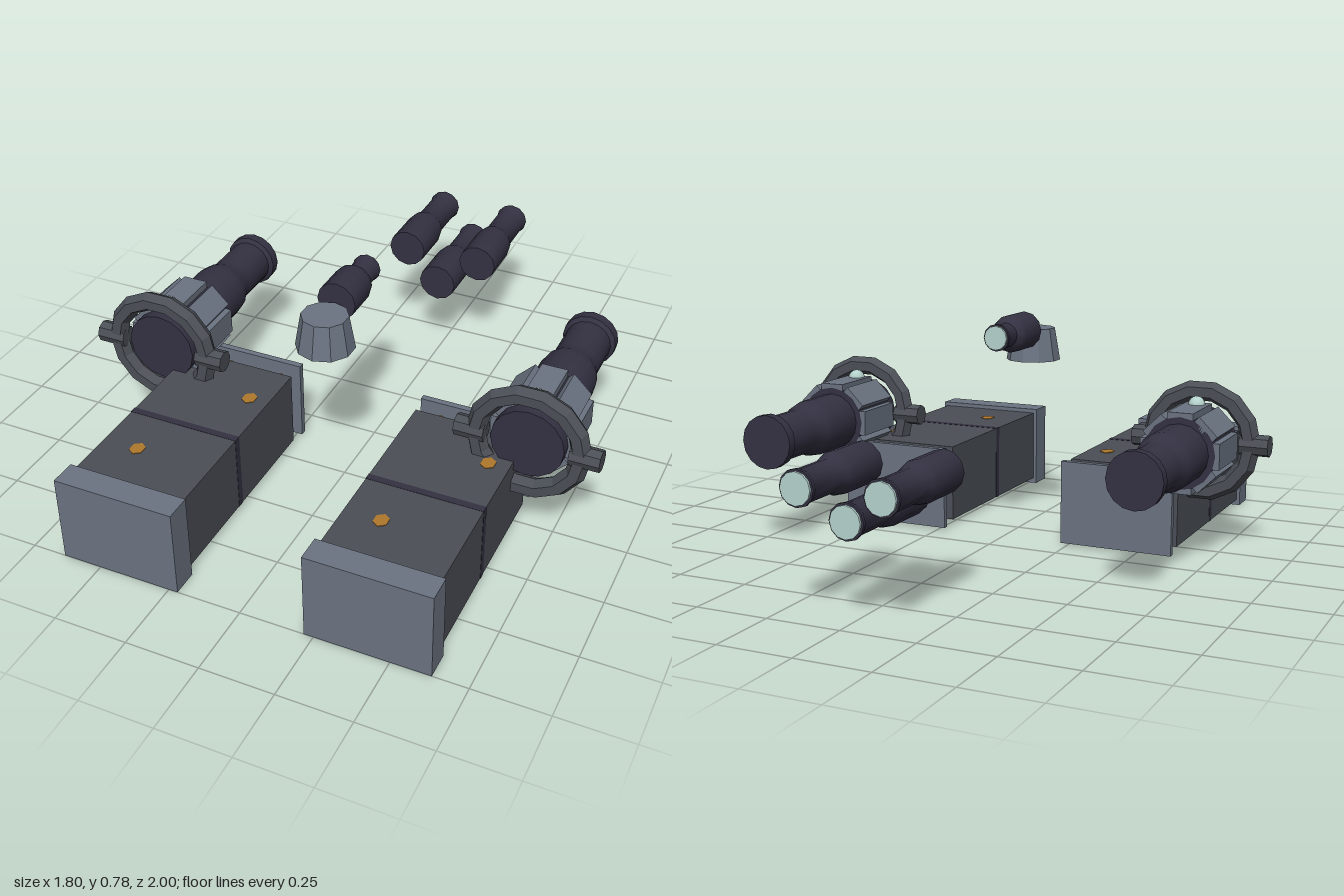
import * as THREE from 'three';
import { toCreasedNormals } from 'three/addons/utils/BufferGeometryUtils.js';

const mat = (name, color, extra = {}) => {
  const m = new THREE.MeshStandardMaterial({ color, ...extra });
  m.name = name;
  return m;
};

export function createModel() {
  const steel = mat('blue grey steel', 0x6b7482);
  const iron = mat('dark grey iron', 0x4b4f56);
  const ironFlat = mat('dark grey iron faceted', 0x4b4f56, { flatShading: true });
  const steelFlat = mat('blue grey steel faceted', 0x6b7482, { flatShading: true });
  const nozzleDark = mat('dark violet', 0x343142);
  const gold = mat('gold', 0xb0782c);
  const glow = mat('pale teal', 0xb6d3ce);

  const root = new THREE.Group();
  root.name = 'engineSet';

  const add = (parent, name, geo, material, x = 0, y = 0, z = 0) => {
    const m = new THREE.Mesh(geo, material);
    m.name = name;
    m.position.set(x, y, z);
    parent.add(m);
    return m;
  };
  const box = (x, y, z) => new THREE.BoxGeometry(x, y, z);
  // cylinder lying along z
  const rod = (r, len, sides = 12) => new THREE.CylinderGeometry(r, r, len, sides).rotateX(Math.PI / 2);
  // turned profile of [radius, distance backwards]
  const turned = (pts, sides) => toCreasedNormals(
    new THREE.LatheGeometry(pts.map(p => new THREE.Vector2(p[0], p[1])), sides).rotateX(-Math.PI / 2), 0.7);

  // Long containers
  for (const s of [-1, 1]) {
    const pod = new THREE.Group();
    pod.name = s > 0 ? 'leftContainer' : 'rightContainer';
    pod.position.x = s * 0.426;
    root.add(pod);
    add(pod, 'body', box(0.39, 0.27, 0.735), iron, 0, 0.155, 0.5475);
    add(pod, 'frontCap', box(0.415, 0.305, 0.09), steel, 0, 0.1525, 0.955);
    add(pod, 'seamBand', box(0.392, 0.272, 0.025), nozzleDark, 0, 0.155, 0.565);
    add(pod, 'backPlate', box(0.4, 0.29, 0.022), steel, 0, 0.152, 0.113);
    // posts between the body and the back plate
    for (const px of [-0.125, 0.07]) for (const py of [0.09, 0.215]) {
      add(pod, 'post', rod(0.025, 0.06), steel, s * px, py, 0.152);
      add(pod, 'postCollar', rod(0.036, 0.014), gold, s * px, py, 0.134);
    }
    // worn patches on the top
    for (const [px, pz] of [[-0.07, 0.74], [0.125, 0.35]]) {
      const patch = add(pod, 'goldPatch', new THREE.CylinderGeometry(0.03, 0.03, 0.004, 6), gold, px, 0.29, pz);
      patch.scale.x = 0.85;
    }
  }

  // Large engines
  const engineGeo = turned([[0, -0.31], [0.122, -0.31], [0.122, -0.06], [0.1, -0.06], [0.1, 0.09],
    [0.094, 0.125], [0.083, 0.15], [0.08, 0.18], [0.08, 0.325], [0.094, 0.335], [0.094, 0.37], [0, 0.37]], 16);
  const ringGeo = new THREE.TorusGeometry(0.175, 0.034, 6, 14);
  const pinGeo = new THREE.CylinderGeometry(0.037, 0.037, 0.1, 8).rotateZ(Math.PI / 2);
  for (const s of [-1, 1]) {
    const engine = new THREE.Group();
    engine.name = s > 0 ? 'leftEngine' : 'rightEngine';
    engine.position.set(s * 0.66, 0.372, 0);
    root.add(engine);
    add(engine, 'engineTube', engineGeo, nozzleDark);
    add(engine, 'mountRing', ringGeo, ironFlat, 0, 0, 0.297);
    for (const side of [-1, 1]) add(engine, 'ringPin', pinGeo, ironFlat, side * 0.19, 0, 0.297);
    // armour slats around the tube
    for (let i = 0; i < 8; i++) {
      const a = i * Math.PI / 4;
      const slat = add(engine, 'slat', box(0.088, 0.045, 0.21), steel,
        Math.sin(a) * 0.1135, Math.cos(a) * 0.1135, 0.165);
      slat.rotation.z = -a;
    }
    add(engine, 'signalDome', new THREE.SphereGeometry(0.03, 12, 8), glow, 0, 0.133, 0.238);
  }

  // Small thrusters, placed by their front end
  const thruster = (name, x, y, z, r, tip, len, neck) => {
    const g = new THREE.Group();
    g.name = name;
    g.position.set(x, y, z);
    root.add(g);
    add(g, 'thrusterTube', turned([[0, 0], [r, 0], [r, neck * 0.78], [r * 0.92, neck * 0.9], [tip, neck],
      [tip, len - 0.03], [tip * 1.1, len - 0.02], [tip * 1.1, len - 0.008], [0, len - 0.008]], 12), nozzleDark);
    add(g, 'glowDisc', rod(tip * 0.97, 0.009), glow, 0, 0, -len + 0.0045);
  };
  thruster('centreThruster', 0, 0.31, -0.57, 0.069, 0.053, 0.39, 0.21);
  thruster('leftThruster', 0.14, 0.403, -0.61, 0.069, 0.053, 0.39, 0.21);
  thruster('rightThruster', -0.14, 0.403, -0.61, 0.069, 0.053, 0.39, 0.21);
  thruster('upperThruster', 0, 0.715, 0.293, 0.066, 0.043, 0.243, 0.155);

  // Tapered pedestal
  add(root, 'pedestal', new THREE.CylinderGeometry(0.077, 0.097, 0.115, 10), steelFlat, 0, 0.6575, 0.375);

  return root;
}
